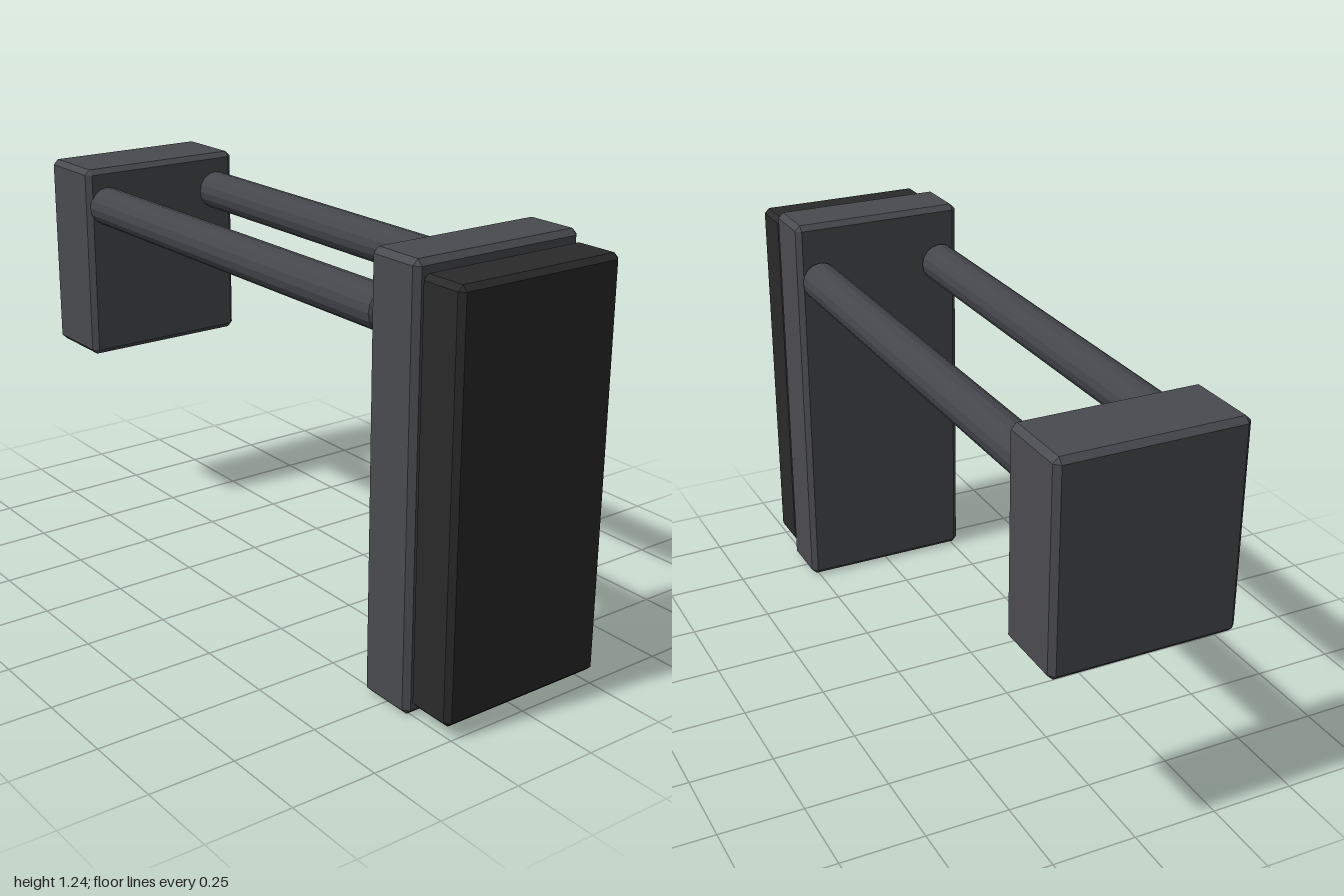
import * as THREE from 'three';
import { ConvexGeometry } from 'three/addons/geometries/ConvexGeometry.js';

const material = (color) => new THREE.MeshStandardMaterial({ color, flatShading: true });

// Box with chamfered edges, given by its low and high corners
function chamferBox(name, lo, hi, bevel, mat) {
  const half = hi.map((h, i) => (h - lo[i]) / 2);
  const points = [];
  for (const sx of [-1, 1]) for (const sy of [-1, 1]) for (const sz of [-1, 1]) {
    for (let face = 0; face < 3; face++) {
      const p = [sx, sy, sz].map((s, i) => s * (half[i] - (i === face ? 0 : bevel)));
      points.push(new THREE.Vector3(...p));
    }
  }
  const mesh = new THREE.Mesh(new ConvexGeometry(points), mat);
  mesh.position.set(...hi.map((h, i) => (h + lo[i]) / 2));
  mesh.name = name;
  return mesh;
}

// Rod along z with chamfered ends
function rod(name, x, y, z0, z1, radius, mat) {
  const bevel = 0.015;
  const profile = [
    [0, z0], [radius - bevel, z0], [radius, z0 + bevel],
    [radius, z1 - bevel], [radius - bevel, z1], [0, z1],
  ].map(([r, z]) => new THREE.Vector2(r, z));
  const mesh = new THREE.Mesh(new THREE.LatheGeometry(profile, 16).rotateX(Math.PI / 2), mat);
  mesh.position.set(x, y, 0);
  mesh.name = name;
  return mesh;
}

export function createModel() {
  const model = new THREE.Group();
  model.name = 'paddedBrace';
  const metal = material(0x4a4b50);
  const rodMetal = material(0x44464c);
  const rubber = material(0x2a2a2a);

  // Tall plate with its dark pad
  model.add(chamferBox('buttPlate', [-0.273, 0, 0.665], [0.273, 1.24, 0.846], 0.016, metal));
  model.add(chamferBox('buttPad', [-0.265, 0.035, 0.848], [0.265, 1.21, 1], 0.015, rubber));

  // Rear block
  model.add(chamferBox('rearBlock', [-0.273, 0.57, -1], [0.273, 1.18, -0.76], 0.016, metal));

  // Pair of connecting rods
  for (const [name, side] of [['leftRod', 1], ['rightRod', -1]]) {
    model.add(rod(name, side * 0.205, 1.06, -0.78, 0.668, 0.06, rodMetal));
  }
  return model;
}
